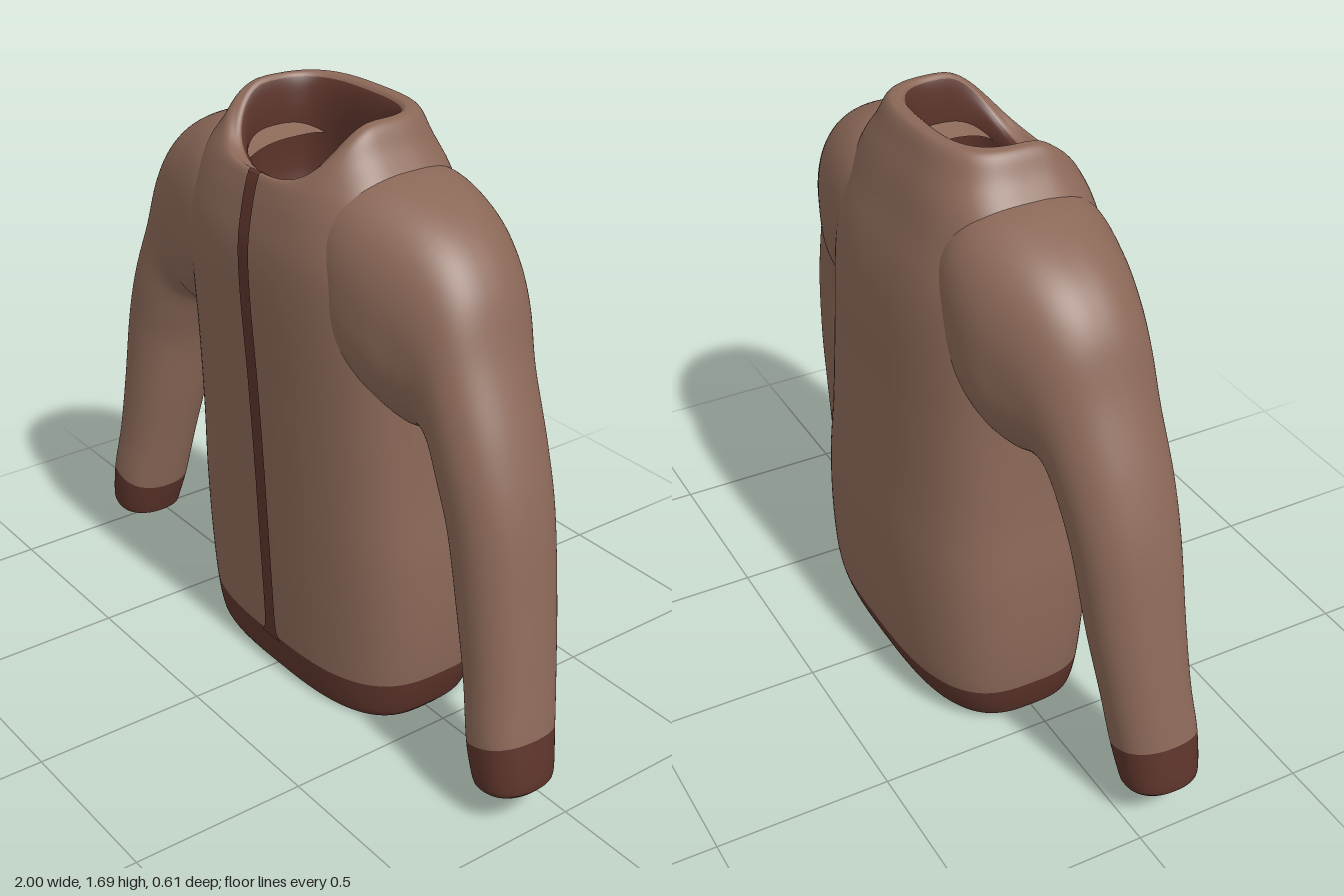
import * as THREE from 'three';

const wool = new THREE.MeshStandardMaterial({ color: 0x8b6858 });
wool.name = 'brown wool';
const trim = new THREE.MeshStandardMaterial({ color: 0x5c342b });
trim.name = 'dark brown trim';
const trimFlat = trim.clone();
trimFlat.side = THREE.DoubleSide;
const MATERIALS = [wool, trim];
const SEGMENTS = 96;

// Smooth interpolation between table rows; t is a fractional row index
function sampler(rows) {
  const curve = new THREE.CubicInterpolant(rows.map((_, i) => i), rows.flat(), rows[0].length);
  return (t) => Array.from(curve.evaluate(t));
}

const power = (v, n) => Math.sign(v) * Math.pow(Math.abs(v), 2 / n);

// Skin closed rings; bands are [lastRow, materialIndex]
function loft(name, rows, point, bands, steps = 6) {
  const at = sampler(rows), positions = [], index = [];
  const count = (rows.length - 1) * steps;
  for (let r = 0; r <= count; r++) {
    const row = at(r / steps);
    for (let j = 0; j < SEGMENTS; j++) {
      const a = (j / SEGMENTS) * Math.PI * 2;
      positions.push(...point(row, Math.cos(a), Math.sin(a)));
    }
  }
  for (let r = 0; r < count; r++) {
    for (let j = 0; j < SEGMENTS; j++) {
      const a = r * SEGMENTS + j, b = r * SEGMENTS + (j + 1) % SEGMENTS;
      index.push(a, a + SEGMENTS, b, b, a + SEGMENTS, b + SEGMENTS);
    }
  }
  const geometry = new THREE.BufferGeometry();
  geometry.setAttribute('position', new THREE.Float32BufferAttribute(positions, 3));
  geometry.setIndex(index);
  geometry.computeVertexNormals();
  let start = 0;
  for (const [last, material] of bands) {
    const end = last * steps * SEGMENTS * 6;
    geometry.addGroup(start, end - start, material);
    start = end;
  }
  const mesh = new THREE.Mesh(geometry, MATERIALS);
  mesh.name = name;
  return mesh;
}

// Body rings: height, half width, front z, back z, front neckline dip
const BODY = [
  [0, 0.42, 0.215, -0.215, 0],
  [0.03, 0.44, 0.225, -0.25, 0.03],
  [0.13, 0.465, 0.235, -0.287, 0.12],
  [0.3, 0.48, 0.245, -0.3, 0],
  [0.5, 0.48, 0.255, -0.3, 0],
  [0.7, 0.465, 0.265, -0.288, 0],
  [0.95, 0.455, 0.28, -0.277, 0],
  [1.2, 0.45, 0.298, -0.267, 0],
  [1.34, 0.44, 0.3, -0.25, 0],
  [1.46, 0.4, 0.285, -0.22, 0.1],
  [1.55, 0.355, 0.272, -0.198, 0.3],
  [1.62, 0.3, 0.262, -0.175, 0.55],
  [1.675, 0.268, 0.25, -0.155, 0.85],
  [1.69, 0.245, 0.235, -0.135, 1],
  [1.68, 0.225, 0.215, -0.105, 1],
  [1.6, 0.212, 0.2, -0.09, 0.7],
  [1.35, 0.2, 0.2, -0.09, 0],
  [1.3, 0, 0.05, 0.05, 0],
];

function bodyPoint([y, w, front, back, dip], c, s) {
  const mid = (front + back) / 2, half = (front - back) / 2;
  return [w * power(c, 3), y - dip * 0.17 * Math.max(0, s) ** 1.5, mid + half * power(s, 3)];
}

// Sleeve rings from shoulder to cuff: outer x, y, inner x, y, front z, back z, squareness
const SLEEVE = [
  [0.15, 1.54, 0.2, 1.1, 0.24, -0.19, 2.8],
  [0.3, 1.58, 0.32, 1.03, 0.262, -0.22, 2.7],
  [0.45, 1.545, 0.42, 0.97, 0.25, -0.215, 2.5],
  [0.58, 1.475, 0.48, 0.945, 0.225, -0.18, 2.4],
  [0.67, 1.37, 0.53, 0.95, 0.207, -0.145, 2.3],
  [0.735, 1.21, 0.575, 0.93, 0.202, -0.115, 2.2],
  [0.82, 1.02, 0.615, 0.85, 0.203, -0.095, 2.2],
  [0.88, 0.84, 0.655, 0.74, 0.2, -0.08, 2.2],
  [0.925, 0.6, 0.7, 0.55, 0.2, -0.06, 2.2],
  [0.96, 0.4, 0.745, 0.37, 0.205, -0.035, 2.2],
  [0.982, 0.265, 0.785, 0.205, 0.217, -0.015, 2.3],
  [1.0, 0.14, 0.808, 0.13, 0.215, 0, 2.3],
  [0.99, 0.112, 0.818, 0.1, 0.208, 0.008, 2.3],
];

const sleevePoint = (side) => ([ox, oy, ix, iy, front, back, n], c, s) => {
  const u = power(c, n) / 2, v = power(-side * s, n) / 2;
  return [
    side * ((ox + ix) / 2 + (ox - ix) * u),
    (oy + iy) / 2 + (oy - iy) * u,
    (front + back) / 2 + (front - back) * v,
  ];
};

// Thin front band that follows the centre line of the body and widens into the hem
function makePlacket() {
  const geometry = new THREE.PlaneGeometry(1, 1, 1, 70);
  const at = sampler(BODY), p = geometry.attributes.position;
  for (let i = 0; i < p.count; i++) {
    const t = 1.95 + (p.getY(i) + 0.5) * 11.35;
    const [, y, z] = bodyPoint(at(t), 0, 1);
    const w = 0.024 + 0.02 * Math.exp(-(t - 1.95) * 9);
    p.setXYZ(i, Math.sign(p.getX(i)) * w, y + (t > 11 ? 0.004 : 0), z + 0.004);
  }
  geometry.computeVertexNormals();
  const mesh = new THREE.Mesh(geometry, trimFlat);
  mesh.name = 'frontPlacket';
  return mesh;
}

export function createModel() {
  const model = new THREE.Group();
  model.name = 'cardigan';

  // Hem, body, rolled collar and dark lining
  model.add(loft('body', BODY, bodyPoint, [[2, 1], [14, 0], [17, 1]]));
  model.add(loft('bodyUnderside', [[0, 0, 0, 0, 0], BODY[0]], bodyPoint, [[1, 0]], 1));
  model.add(makePlacket());

  // Sleeves with cuffs and closed ends
  for (const [name, side] of [['left', 1], ['right', -1]]) {
    const point = sleevePoint(side);
    const end = SLEEVE[SLEEVE.length - 1];
    const centre = [0.904, 0.106, 0.904, 0.106, 0.108, 0.108, 2.3];
    model.add(loft(name + 'Sleeve', SLEEVE, point, [[10, 0], [12, 1]]));
    model.add(loft(name + 'CuffEnd', [end, centre], point, [[1, 0]], 1));
  }
  return model;
}
